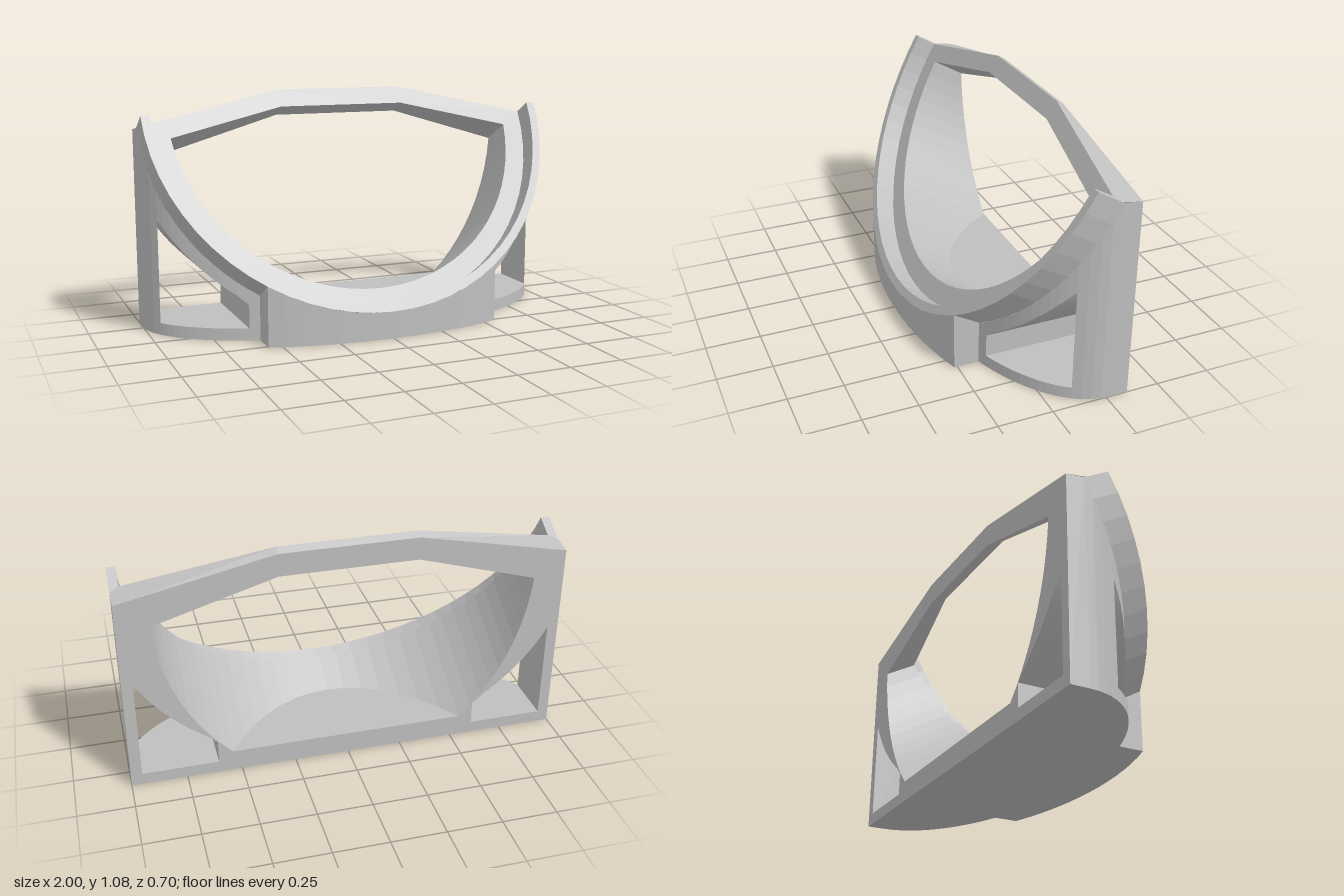
import * as THREE from 'three';

const C = Math.cos(Math.PI / 6), S = 0.5;      // the cradle leans back 30 degrees
const BACK = -0.35, FLOOR = 0.1, SILL = 0.055; // back plane, cradle floor, window sill
const REC = 0.1, LIP = 0.134;                  // recess depth and lip depth
const BX = 0.56, W0 = 0.605, W1 = 0.95;        // block half width, window sides

// Point on the leaning plane: x across, u up the slope, d behind the front
const P = (x, u, d) => [x, 0.99 + C * u - S * d, -0.15 - S * u - C * d];
const half = (x) => Math.sqrt(Math.max(0, 1 - x * x));
const edge = (x, d) => P(x, -half(x), d);      // lower rim of the lip

// Arc points, anticlockwise
function arc(r, a0, a1, n) {
  return Array.from({ length: n + 1 }, (_, i) => {
    const a = a0 + (a1 - a0) * i / n;
    return [r * Math.cos(a), r * Math.sin(a)];
  });
}
// x values spaced evenly by angle round the rim
function xs(x0, x1, n) {
  const a0 = Math.acos(x0), a1 = Math.acos(x1);
  return Array.from({ length: n + 1 }, (_, i) => Math.cos(a0 + (a1 - a0) * i / n));
}

// Surface between two rows of points
function strip(a, b) {
  const pos = [];
  for (let i = 0; i < a.length - 1; i++) {
    pos.push(...a[i], ...a[i + 1], ...b[i + 1], ...a[i], ...b[i + 1], ...b[i]);
  }
  const g = new THREE.BufferGeometry();
  g.setAttribute('position', new THREE.Float32BufferAttribute(pos, 3));
  g.computeVertexNormals();
  return g;
}
const v2 = (pts) => pts.map((p) => new THREE.Vector2(p[0], p[1]));

export function createModel() {
  const model = new THREE.Group();
  model.name = 'cradleStand';
  const grey = new THREE.MeshStandardMaterial({ color: 0xbfbfbf, flatShading: true, side: THREE.DoubleSide });
  grey.name = 'light grey';
  const add = (name, geometry, parent = model) => {
    const m = new THREE.Mesh(geometry, grey);
    m.name = name;
    parent.add(m);
    return m;
  };
  // Place flat geometry on the leaning plane at depth d
  const lean = (geometry, d) => geometry.applyMatrix4(new THREE.Matrix4().makeBasis(
    new THREE.Vector3(1, 0, 0), new THREE.Vector3(0, C, -S), new THREE.Vector3(0, S, C),
  ).setPosition(...P(0, 0, d)));

  // Raised half-round lip
  const ring = [...arc(1, Math.PI, 2 * Math.PI, 32), ...arc(0.96, 2 * Math.PI, Math.PI, 32)];
  add('lip', lean(new THREE.ExtrudeGeometry(new THREE.Shape(v2(ring)),
    { depth: LIP, bevelEnabled: false }), LIP));

  // Opening outline: half circle below, shallow three-sided arch above
  const R = 0.86, e = 0.0815;
  const uFloor = (FLOOR - 0.99) * C - (BACK + 0.15) * S;
  const f = Math.asin(-uFloor / R);
  const opening = [
    ...arc(R, Math.PI + e, Math.PI + f, 10),
    ...arc(R, Math.PI + f, 2 * Math.PI - f, 14).slice(1),
    ...arc(R, 2 * Math.PI - f, 2 * Math.PI - e, 10).slice(1),
    [0.31, 0.07], [-0.31, 0.07],
  ];

  // Recessed face inside the lip
  const face = new THREE.Shape(v2([...arc(0.96, Math.PI, 2 * Math.PI, 32), [0.31, 0.16], [-0.31, 0.16]]));
  face.holes.push(new THREE.Path(v2(opening)));
  add('recessedFace', lean(new THREE.ShapeGeometry(face), REC));

  // Opening wall runs square to the face until it meets the back or the floor
  const near = opening.map(([x, u]) => P(x, u, REC));
  const far = near.map(([x, y, z]) => {
    const t = Math.min((z - BACK) / C, (y - FLOOR) / S);
    return [x, y - S * t, z - C * t];
  });
  add('openingWall', strip([...near, near[0]], [...far, far[0]]));
  const floorEdge = far.slice(10, 25);
  add('cradleFloor', strip(floorEdge, floorEdge.map(([x]) => [x, FLOOR, BACK])));

  // Window ceiling follows the rim, kept clear of the opening
  const ceil = (x) => {
    const rim = 0.923 - C * Math.sqrt(1.113 - x * x);
    const open = x < R ? 0.8736 - Math.sqrt(R * R - x * x) / C : Infinity;
    return Math.min(rim, open - 0.005);
  };
  const win = xs(W0, W1, 10);

  // Back plate
  const back = new THREE.Shape(v2([[-1, 0], [1, 0], [1, 0.913], [0.31, 1.06], [-0.31, 1.06], [-1, 0.913]]));
  back.holes.push(new THREE.Path(v2(far.filter((p) => p[2] < BACK + 0.001))));
  for (const s of [1, -1]) {
    back.holes.push(new THREE.Path(v2([
      [s * W0, SILL], [s * W1, SILL], ...[...win].reverse().map((x) => [s * x, ceil(x)]),
    ])));
  }
  add('backPlate', new THREE.ShapeGeometry(back).rotateY(Math.PI).translate(0, 0, BACK));

  // Top surface
  const topFront = [[-1, -0.01], [-0.96, 0], [-0.31, 0.16], [0.31, 0.16], [0.96, 0], [1, -0.01]]
    .map(([x, u]) => P(x, u, REC));
  const topBack = [[-1, 0.913], [-0.96, 0.9215], [-0.31, 1.06], [0.31, 1.06], [0.96, 0.9215], [1, 0.913]]
    .map(([x, y]) => [x, y, BACK]);
  add('topSurface', strip(topFront, topBack));

  // Centre block under the lip
  const mid = xs(-BX, BX, 14);
  const ground = (x, d) => [x, 0, edge(x, d)[2]];
  add('centreBlock', strip(mid.map((x) => ground(x, 0)), mid.map((x) => edge(x, 0))));
  add('centreUnderside', strip(mid.map((x) => [x, 0, BACK]), mid.map((x) => ground(x, 0))));

  // Side walls with windows, mirrored
  for (const s of [1, -1]) {
    const side = new THREE.Group();
    side.name = s > 0 ? 'leftSide' : 'rightSide';
    model.add(side);
    const flip = (pts) => pts.map(([x, y, z]) => [s * x, y, z]);
    const put = (name, a, b) => add(name, s > 0 ? strip(flip(a), flip(b)) : strip(flip(b), flip(a)), side);
    const wallAt = (x, y) => [x, y, edge(x, LIP)[2]];
    const top = (x) => edge(x, LIP);

    for (const [x0, x1, n] of [[BX, W0, 1], [W1, 1, 4]]) {
      const c = xs(x0, x1, n);
      put('wallPost', c.map((x) => wallAt(x, 0)), c.map(top));
    }
    put('wallBelowWindow', win.map((x) => wallAt(x, 0)), win.map((x) => wallAt(x, SILL)));
    put('wallAboveWindow', win.map((x) => wallAt(x, ceil(x))), win.map(top));

    put('windowSill', win.map((x) => wallAt(x, SILL)), win.map((x) => [x, SILL, BACK]));
    put('windowCeiling', win.map((x) => [x, ceil(x), BACK]), win.map((x) => wallAt(x, ceil(x))));
    put('windowInnerWall', [wallAt(W0, SILL), [W0, SILL, BACK]], [wallAt(W0, ceil(W0)), [W0, ceil(W0), BACK]]);
    put('windowOuterWall', [[W1, SILL, BACK], wallAt(W1, SILL)], [[W1, ceil(W1), BACK], wallAt(W1, ceil(W1))]);

    put('blockSide', [ground(BX, 0), ground(BX, LIP)], [edge(BX, 0), edge(BX, LIP)]);
    put('endFace', [wallAt(1, 0), [1, 0, BACK]], [top(1), [1, 0.913, BACK]]);
    const foot = xs(BX, 1, 14);
    put('sideUnderside', foot.map((x) => [x, 0, BACK]), foot.map((x) => wallAt(x, 0)));
  }
  return model;
}
